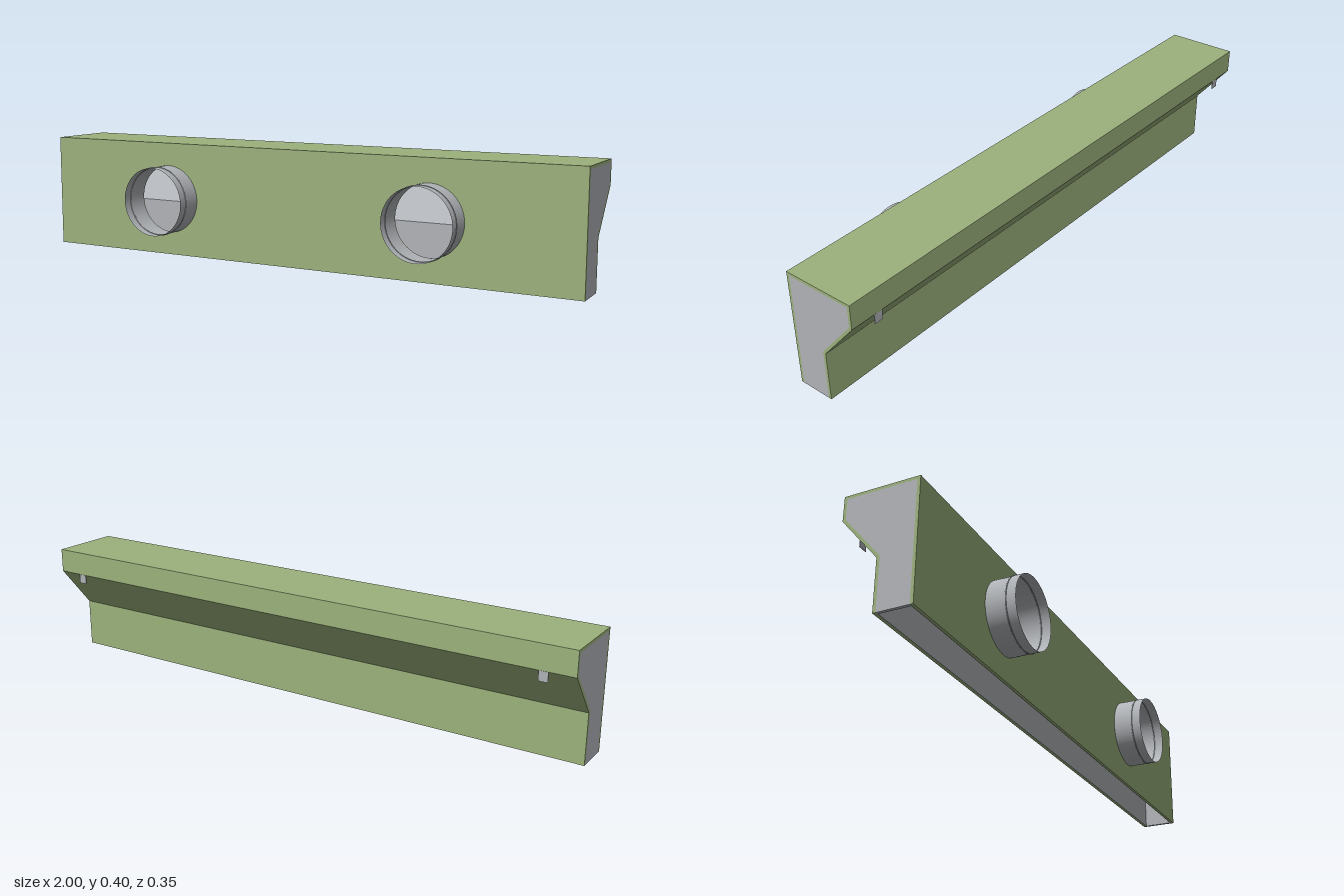
import * as THREE from 'three';

const WALL = 0.01;

// Offset an open polyline to its right-hand side with mitred corners
function offset(points, t) {
  const normal = (a, b) => new THREE.Vector2(b.y - a.y, a.x - b.x).normalize();
  return points.map((p, i) => {
    const before = normal(points[Math.max(i - 1, 0)], points[Math.max(i, 1)]);
    const last = points.length - 1;
    const after = normal(points[Math.min(i, last - 1)], points[Math.min(i + 1, last)]);
    const mitre = before.clone().add(after).normalize();
    return p.clone().addScaledVector(mitre, t / mitre.dot(before));
  });
}

// Extrude a side profile (-z, y) along x, centred on the given x
function extrudeAlongX(points, length, x = 0) {
  const geometry = new THREE.ExtrudeGeometry(new THREE.Shape(points), { depth: length, bevelEnabled: false });
  return geometry.translate(0, 0, -length / 2).rotateY(Math.PI / 2).translate(x, 0, 0);
}

export function createModel() {
  const group = new THREE.Group();
  const green = new THREE.MeshStandardMaterial({ color: 0x9cb27c });
  green.name = 'green paint';
  const grey = new THREE.MeshStandardMaterial({ color: 0xb0b3b7, side: THREE.DoubleSide });
  grey.name = 'galvanised grey';

  const add = (name, geometry, material) => {
    const mesh = new THREE.Mesh(geometry, material);
    mesh.name = name;
    group.add(mesh);
    return mesh;
  };

  // Bent sheet: top, upper back, slope and lower back
  const path = [[-0.075, 0.4], [0.173, 0.4], [0.173, 0.318], [0.05, 0.17], [0.05, 0]]
    .map(([x, y]) => new THREE.Vector2(x, y));
  const inner = offset(path, WALL);
  add('shell', extrudeAlongX([...path, ...inner.slice().reverse()], 2), green);

  // Grey inside face of the bent sheet
  inner[0].x = -0.065;
  const liner = [...inner, ...offset(inner, 0.002).reverse()];
  add('innerLining', extrudeAlongX(liner, 1.98), grey);

  // Front panel with round openings, and its grey inside face
  const panel = (halfWidth) => {
    const shape = new THREE.Shape([
      new THREE.Vector2(-halfWidth, 0), new THREE.Vector2(halfWidth, 0),
      new THREE.Vector2(halfWidth, 0.39), new THREE.Vector2(-halfWidth, 0.39),
    ]);
    for (const x of [-0.5, 0.5]) {
      const hole = new THREE.Path();
      hole.absarc(x, 0.2, 0.12, 0, Math.PI * 2, true);
      shape.holes.push(hole);
    }
    return shape;
  };
  const front = new THREE.ExtrudeGeometry(panel(1), { depth: WALL, bevelEnabled: false, curveSegments: 48 });
  add('frontPanel', front.translate(0, 0, 0.065), green);
  add('frontLining', new THREE.ShapeGeometry(panel(0.99), 48).translate(0, 0, 0.064), grey);

  // End caps set inside the shell, duct collars and hanging tabs
  const capProfile = [...inner, new THREE.Vector2(-0.065, 0)];
  for (const side of [-1, 1]) {
    const label = side > 0 ? 'left' : 'right';
    add(label + 'EndCap', extrudeAlongX(capProfile, WALL, side * 0.995), grey);

    const collar = new THREE.CylinderGeometry(0.12, 0.12, 0.111, 64, 1, true);
    add(label + 'Collar', collar.rotateX(Math.PI / 2), grey).position.set(side * 0.5, 0.2, 0.1195);
    const bead = new THREE.TorusGeometry(0.12, 0.002, 8, 64);
    add(label + 'CollarBead', bead, grey).position.set(side * 0.5, 0.2, 0.142);

    const tab = new THREE.BoxGeometry(0.03, 0.04, 0.002);
    add(label + 'HangingTab', tab, grey).position.set(side * 0.9, 0.305, -0.1715);
  }
  return group;
}
